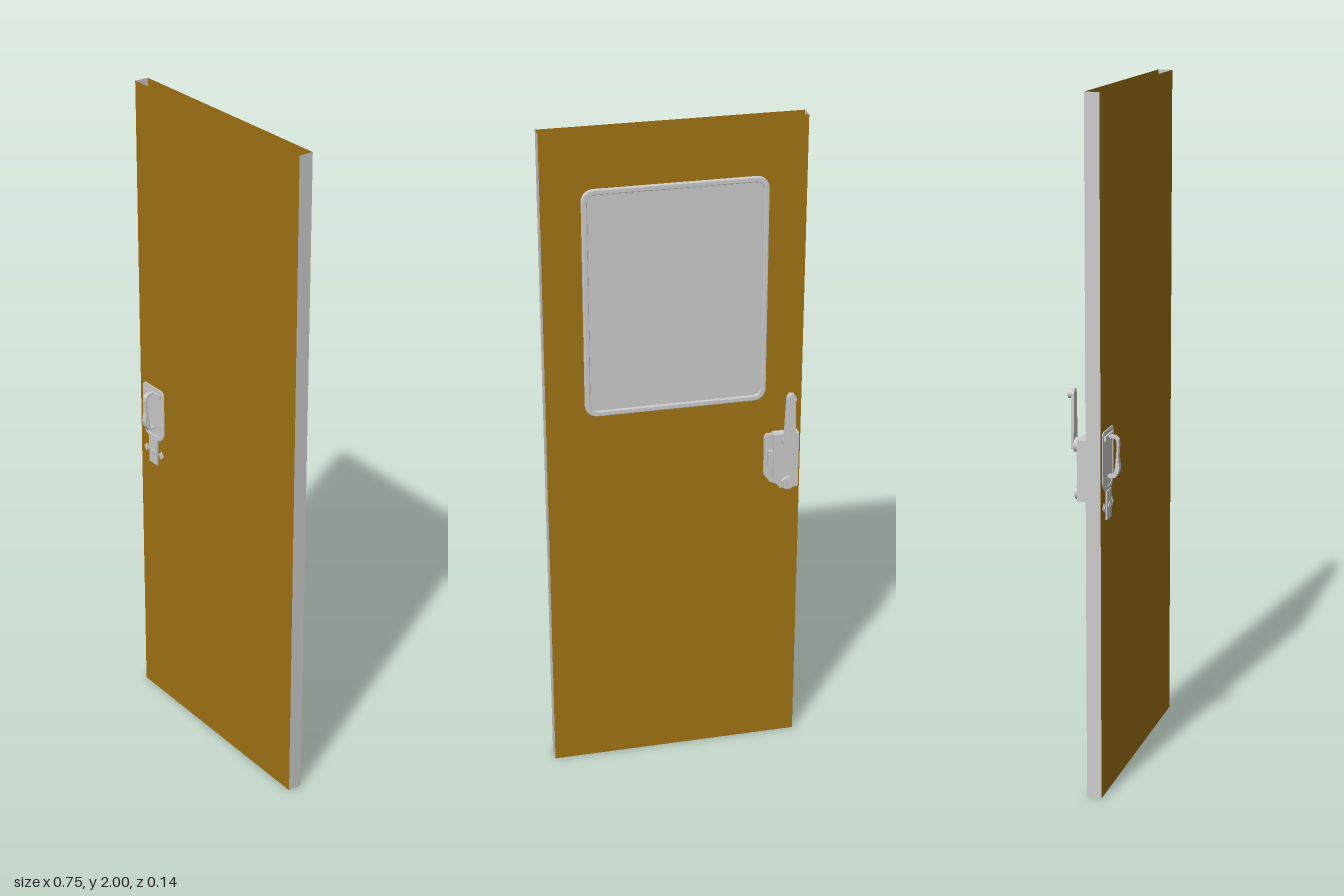
import * as THREE from 'three';

const grey = new THREE.MeshStandardMaterial({ color: 0xcccccc, side: THREE.DoubleSide });
const brown = new THREE.MeshStandardMaterial({ color: 0xa07314, side: THREE.DoubleSide });

function add(parent, name, geo, x = 0, y = 0, z = 0, mat = grey) {
  const m = new THREE.Mesh(geo, mat);
  m.name = name;
  m.position.set(x, y, z);
  parent.add(m);
  return m;
}
const box = (w, h, d) => new THREE.BoxGeometry(w, h, d);
// Cylinder lying along z
const disc = (r, d, n = 24) => new THREE.CylinderGeometry(r, r, d, n).rotateX(Math.PI / 2);

// Rounded rectangle centred on 0,0 with separate bottom and top radii
function roundRect(w, h, rb, rt = rb, T = THREE.Shape) {
  const s = new T(), x = w / 2, y = h / 2, q = Math.PI / 2;
  s.moveTo(-x + rb, -y);
  s.absarc(x - rb, -y + rb, rb, -q, 0);
  s.absarc(x - rt, y - rt, rt, 0, q);
  s.absarc(-x + rt, y - rt, rt, q, 2 * q);
  s.absarc(-x + rb, -y + rb, rb, 2 * q, 3 * q);
  s.closePath();
  return s;
}
function extrude(shape, depth, bevel = 0) {
  return new THREE.ExtrudeGeometry(shape, {
    depth, curveSegments: 8, bevelEnabled: bevel > 0, bevelSize: bevel,
    bevelThickness: bevel, bevelOffset: -bevel, bevelSegments: 2,
  });
}
function polygon(points) {
  return new THREE.Shape(points.map(([x, y]) => new THREE.Vector2(x, y)));
}

function buildLeaf(root) {
  const W = 0.754, zB = -0.01, zF = 0.033, zc = (zB + zF) / 2, d = zF - zB;
  const leaf = new THREE.Group();
  leaf.name = 'doorLeaf';
  // Hollow leaf, open at the top
  add(leaf, 'frontPanel', new THREE.PlaneGeometry(W, 2), 0, 1, zF, brown);
  add(leaf, 'backPanel', new THREE.PlaneGeometry(W, 2).rotateY(Math.PI), 0, 1, zB, brown);
  add(leaf, 'bottomPanel', new THREE.PlaneGeometry(W, d).rotateX(Math.PI / 2), 0, 0, zc, brown);
  for (const s of [-1, 1])
    add(leaf, s > 0 ? 'leftEdge' : 'rightEdge',
      new THREE.PlaneGeometry(d, 2).rotateY(s * Math.PI / 2), s * W / 2, 1, zc);
  root.add(leaf);
}

function buildWindow(root) {
  const win = new THREE.Group();
  win.name = 'window';
  const ring = roundRect(0.531, 0.682, 0.035);
  ring.holes.push(roundRect(0.499, 0.65, 0.022, 0.022, THREE.Path));
  add(win, 'windowTrim', extrude(ring, 0.032, 0.003).scale(1, 1, 0.032 / 0.038), 0, 0, -0.0175);
  add(win, 'windowPane', extrude(roundRect(0.51, 0.66, 0.025), 0.004), 0, 0, -0.0125);
  win.position.set(-0.0015, 1.494, 0);
  root.add(win);
}

function buildPull(root) {
  // Outside pull: rimmed dish with a bowed handle hung from a top bar
  const pull = new THREE.Group();
  pull.name = 'outsidePull';
  pull.position.set(-0.309, 0.983, 0.03);
  const rim = roundRect(0.108, 0.174, 0.036, 0.014);
  rim.holes.push(roundRect(0.084, 0.148, 0.028, 0.008, THREE.Path));
  add(pull, 'pullRim', extrude(rim, 0.004, 0.002));
  add(pull, 'pullDish', extrude(roundRect(0.09, 0.154, 0.03, 0.01), 0.002), 0, 0, 0.002);
  add(pull, 'pullHinge', box(0.078, 0.013, 0.008), 0, 0.066, 0.006);
  const outer = [[0.006, 0.07], [0.026, 0.07], [0.037, 0.06], [0.038, 0.045], [0.036, 0.01],
    [0.04, -0.02], [0.038, -0.034], [0.028, -0.05], [0.006, -0.052]];
  const inner = [[0.006, -0.044], [0.022, -0.042], [0.027, -0.02], [0.03, 0.01],
    [0.032, 0.045], [0.029, 0.058], [0.022, 0.063], [0.006, 0.063]];
  const bow = extrude(polygon([...outer, ...inner]), 0.022).translate(0, 0, -0.011).rotateY(-Math.PI / 2);
  // Narrower towards the top
  const p = bow.attributes.position;
  for (let i = 0; i < p.count; i++) p.setX(i, p.getX(i) * (0.85 - p.getY(i) * 3));
  bow.computeVertexNormals();
  add(pull, 'pullHandle', bow);
  root.add(pull);

  // Lock tab below the pull, with a screw ear on either side
  const lock = new THREE.Group();
  lock.name = 'lockTab';
  lock.position.set(-0.31, 0.855, 0.033);
  add(lock, 'lockPlate', box(0.042, 0.084, 0.006), 0, 0, 0.002);
  add(lock, 'lockBarrel', disc(0.011, 0.007), 0, -0.003, 0.004);
  add(lock, 'keySlot', box(0.003, 0.01, 0.002), 0, -0.003, 0.008);
  for (const s of [-1, 1]) {
    add(lock, 'screwEar', disc(0.013, 0.003, 4), s * 0.038, -0.003, 0.0015);
    add(lock, 'earScrew', disc(0.006, 0.004, 12), s * 0.038, -0.003, 0.003);
  }
  root.add(lock);
}

function buildLatch(root) {
  const latch = new THREE.Group();
  latch.name = 'insideLatch';
  // Case with a chamfered lower inner corner, plus a thinner flange
  const body = polygon([[-0.365, 0.87], [-0.31, 0.87], [-0.29, 0.9], [-0.29, 1.045], [-0.365, 1.045]]);
  add(latch, 'latchCase', extrude(body, 0.032), 0, 0, -0.039);
  const flange = polygon([[-0.315, 0.87], [-0.283, 0.885], [-0.266, 0.91], [-0.266, 1.03],
    [-0.272, 1.04], [-0.315, 1.04]]);
  add(latch, 'latchFlange', extrude(flange, 0.015), 0, 0, -0.021);
  add(latch, 'flangeBlock', box(0.016, 0.05, 0.012), -0.283, 0.965, -0.026);
  // Lower turn knob
  add(latch, 'turnKnob', disc(0.019, 0.013), -0.332, 0.888, -0.044);
  add(latch, 'turnGrip', box(0.007, 0.03, 0.004), -0.332, 0.888, -0.052);
  // Upright lever on a round pivot
  add(latch, 'leverPivot', disc(0.02, 0.016), -0.332, 1.025, -0.046);
  const lever = polygon([[-0.351, 1.015], [-0.313, 1.015], [-0.314, 1.05], [-0.319, 1.17],
    [-0.325, 1.184], [-0.339, 1.184], [-0.345, 1.17], [-0.35, 1.05]]);
  add(latch, 'leverArm', extrude(lever, 0.008), 0, 0, -0.06);
  add(latch, 'leverTip', disc(0.014, 0.012), -0.332, 1.17, -0.064);
  root.add(latch);
}

export function createModel() {
  const root = new THREE.Group();
  root.name = 'door';
  buildLeaf(root);
  buildWindow(root);
  buildPull(root);
  buildLatch(root);
  return root;
}
